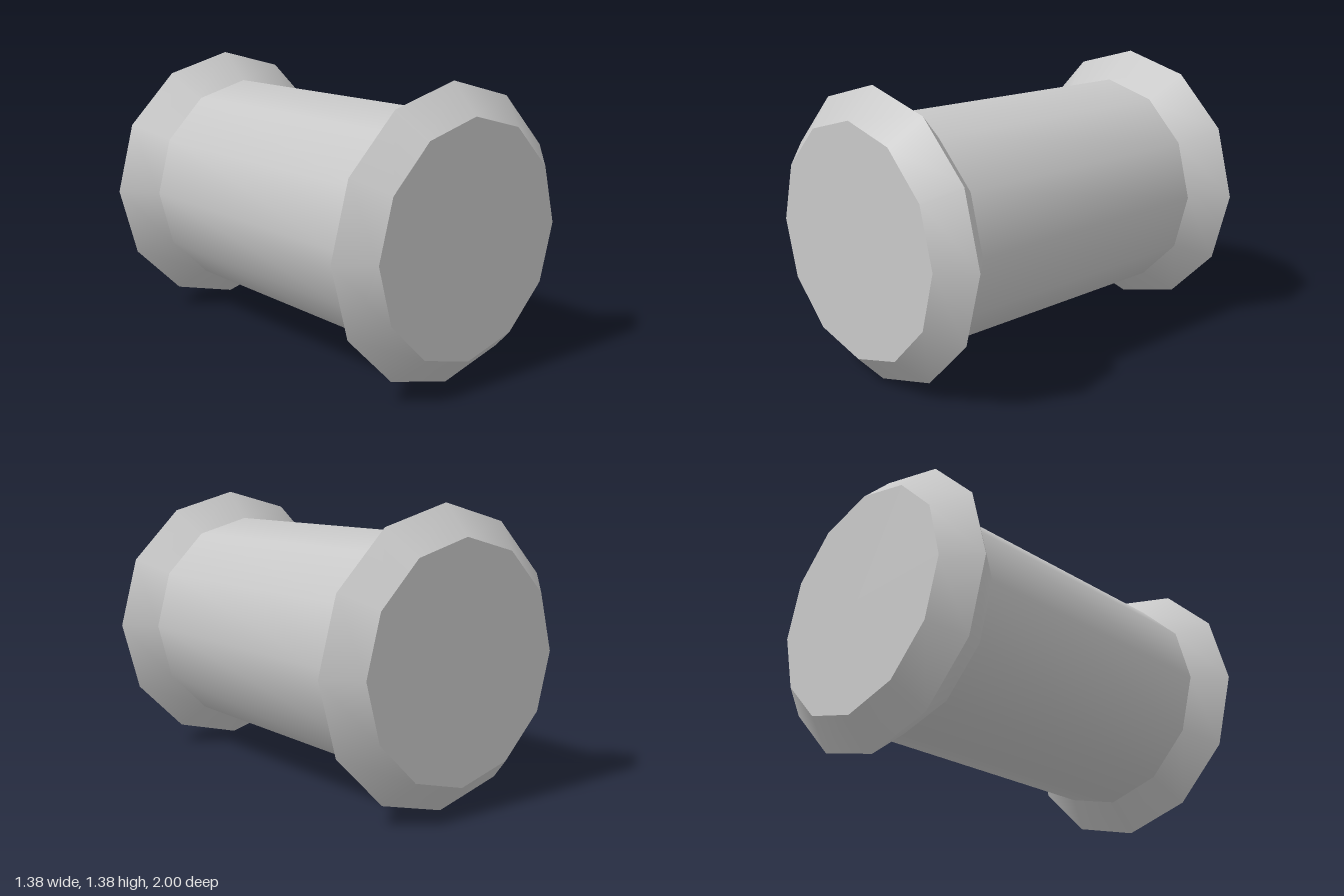
import * as THREE from 'three';

const SIDES = 12;
const CENTER_Y = 0.695;
const BARREL_R = 0.552;
const RIM_R = 0.692;

export function createModel() {
  const group = new THREE.Group();
  group.name = 'spool';
  const grey = new THREE.MeshStandardMaterial({ color: 0xc8c8c8 });
  grey.name = 'light grey';

  const add = (name, geometry) => {
    const mesh = new THREE.Mesh(geometry, grey);
    mesh.name = name;
    mesh.position.y = CENTER_Y;
    group.add(mesh);
  };

  // Open band along z, smooth around its axis, with sharp edges to its neighbours
  const band = (name, zBack, rBack, zFront, rFront) => {
    const g = new THREE.CylinderGeometry(rFront, rBack, zFront - zBack, SIDES, 1, true);
    g.rotateX(Math.PI / 2);
    g.translate(0, 0, (zFront + zBack) / 2);
    add(name, g);
  };

  // Barrel and the two flared rims
  band('backRimOuter', -1, BARREL_R, -0.865, RIM_R);
  band('backRimInner', -0.865, RIM_R, -0.695, BARREL_R);
  band('barrel', -0.695, BARREL_R, 0.725, BARREL_R);
  band('frontRimInner', 0.725, BARREL_R, 0.865, RIM_R);
  band('frontRimOuter', 0.865, RIM_R, 1, BARREL_R);

  // Flat end caps
  for (const [name, side] of [['frontCap', 1], ['backCap', -1]]) {
    const cap = new THREE.CircleGeometry(BARREL_R, SIDES);
    if (side < 0) cap.rotateY(Math.PI);
    cap.translate(0, 0, side);
    add(name, cap);
  }
  return group;
}
